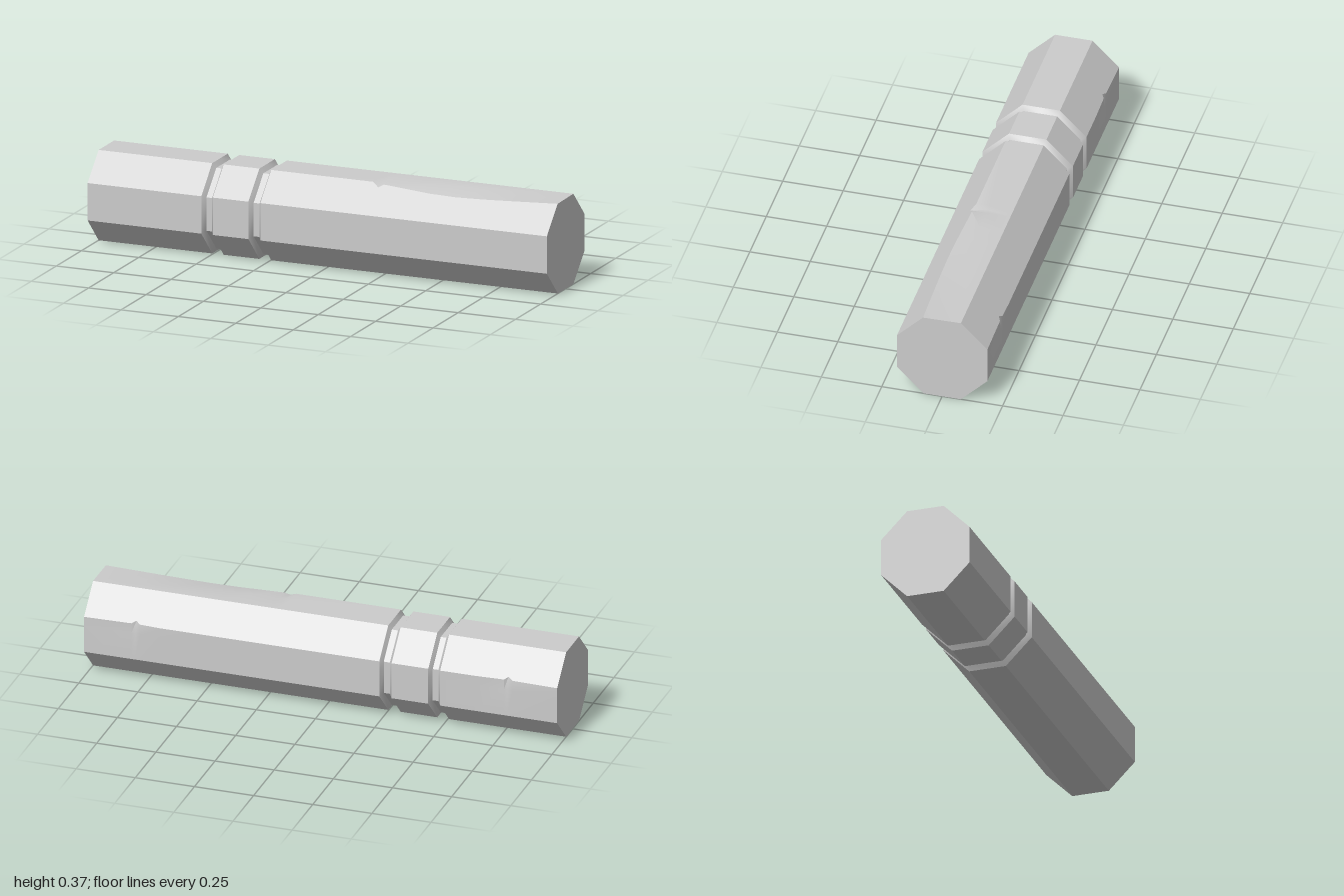
import * as THREE from 'three';
import { toCreasedNormals } from 'three/addons/utils/BufferGeometryUtils.js';

const A = 0.187; // half the width across flats
const G = 0.167; // half width inside the carved grooves

// Octagonal ring at x: half width a, chip depth on the front top edge,
// inner limit of that chip on the top face, dent depth on the upper back edge.
function ring([x, a, chip = 0, rim = 0, dent = 0]) {
  const t = a * Math.tan(Math.PI / 8);
  return [
    [a, rim], [a - chip, t + chip], // top face, chipped edge sliding down the slope
    [t, a], [-t, a], [-a, t], [-a, -t], [-t, -a],
    [t - 0.04, -a], [t + dent, -a + dent], // back face and its dented edge
    [a, -t],
  ].map(([y, z]) => [x, y + A, z]);
}

// Skin the rings into a closed prism along x
function loft(stations) {
  const rings = stations.map(ring);
  const n = rings[0].length;
  const index = [];
  for (let s = 0; s < rings.length - 1; s++) {
    for (let i = 0; i < n; i++) {
      const j = (i + 1) % n;
      const a = s * n + i, b = s * n + j, c = a + n, d = b + n;
      index.push(a, b, c, b, d, c);
    }
  }
  const last = (rings.length - 1) * n;
  for (let i = 1; i < n - 1; i++) {
    index.push(0, i + 1, i); // end at -x
    index.push(last, last + i, last + i + 1); // end at +x
  }
  const geo = new THREE.BufferGeometry();
  geo.setAttribute('position', new THREE.Float32BufferAttribute(rings.flat(2), 3));
  geo.setIndex(index);
  return toCreasedNormals(geo, 0.5);
}

export function createModel() {
  const group = new THREE.Group();
  group.name = 'octagonalBeam';

  const groove = (x0, x1) => [[x0, A], [x0 + 0.014, G], [x1 - 0.012, G], [x1, A]];
  const stations = [
    [-1, A],
    [-0.81, A, 0, 0, 0.002], [-0.79, A, 0, 0, 0.012], [-0.775, A, 0, 0, 0.002], [-0.65, A],
    ...groove(-0.505, -0.455),
    ...groove(-0.3, -0.248),
    // long splintered chip beginning with a sharp nick
    [0.195, A, 0, 0.02],
    [0.225, A, 0.016, 0.02],
    [0.245, A, 0.005, 0.02],
    [0.35, A, 0.011, 0.02],
    [0.45, A, 0.017, 0.01],
    [0.56, A, 0.019, 0],
    [0.68, A, 0.016, -0.02],
    [0.765, A, 0.0125, -0.035, 0.002],
    [0.782, A, 0.012, -0.038, 0.012],
    [0.8, A, 0.011, -0.04, 0.002],
    [1, A, 0.002, -0.07],
  ];

  const beam = new THREE.Mesh(loft(stations), new THREE.MeshStandardMaterial({ color: 0xcccccc }));
  beam.name = 'beam';
  group.add(beam);
  return group;
}
